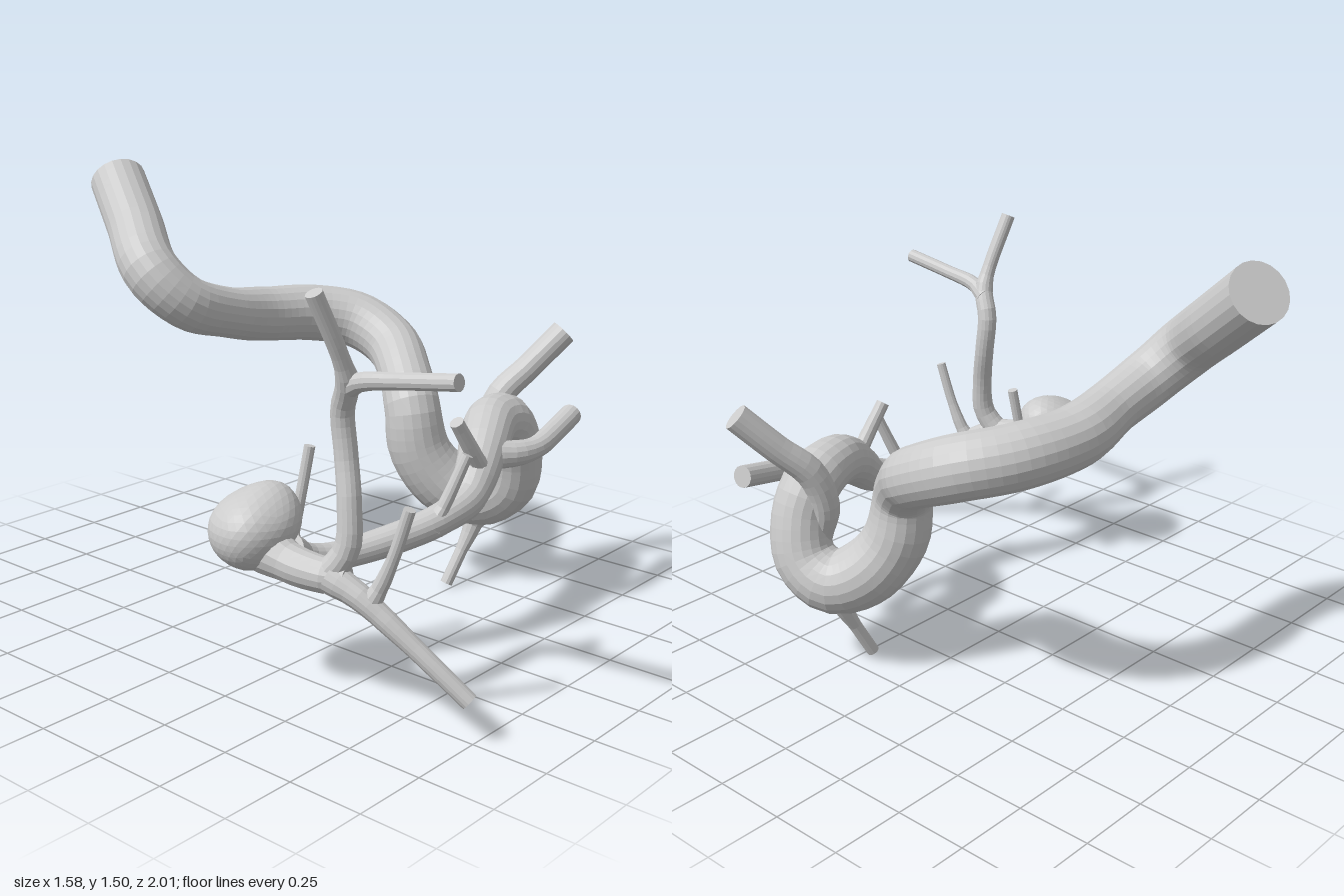
import * as THREE from 'three';

const material = new THREE.MeshStandardMaterial({ color: 0xcccccc, flatShading: true });

// Capped tube through [x, y, z, radius] stations, with smoothly varying radius.
function vessel(name, stations, sides = 16, stepLength = 0.035) {
  const curve = new THREE.CatmullRomCurve3(stations.map(s => new THREE.Vector3(s[0], s[1], s[2])));
  const steps = Math.max(4, Math.round(curve.getLength() / stepLength));
  const { normals, binormals } = curve.computeFrenetFrames(steps, false);
  const position = [], index = [];
  for (let i = 0; i <= steps; i++) {
    const u = i / steps;
    const center = curve.getPointAt(u);
    const f = curve.getUtoTmapping(u) * (stations.length - 1);
    const k = Math.min(Math.floor(f), stations.length - 2);
    const r = THREE.MathUtils.lerp(stations[k][3], stations[k + 1][3], THREE.MathUtils.smoothstep(f - k, 0, 1));
    for (let j = 0; j < sides; j++) {
      const a = j / sides * Math.PI * 2;
      const p = center.clone()
        .addScaledVector(normals[i], Math.cos(a) * r)
        .addScaledVector(binormals[i], Math.sin(a) * r);
      position.push(p.x, p.y, p.z);
      if (i < steps) {
        const p0 = i * sides + j, p1 = i * sides + (j + 1) % sides;
        index.push(p0, p1, p0 + sides, p1, p1 + sides, p0 + sides);
      }
    }
  }
  // flat end caps
  const first = position.length / 3, last = first + 1, ring = steps * sides;
  position.push(...curve.getPointAt(0).toArray(), ...curve.getPointAt(1).toArray());
  for (let j = 0; j < sides; j++) {
    const n = (j + 1) % sides;
    index.push(first, n, j, last, ring + j, ring + n);
  }
  const geometry = new THREE.BufferGeometry();
  geometry.setAttribute('position', new THREE.Float32BufferAttribute(position, 3));
  geometry.setIndex(index);
  geometry.computeVertexNormals();
  const mesh = new THREE.Mesh(geometry, material);
  mesh.name = name;
  return mesh;
}

// Rounded, slightly two-lobed sac.
function sac() {
  const geometry = new THREE.IcosahedronGeometry(1, 5);
  const p = geometry.attributes.position, v = new THREE.Vector3();
  for (let i = 0; i < p.count; i++) {
    v.fromBufferAttribute(p, i);
    const bump = 1 + 0.04 * Math.sin(3 * v.x + 1) * Math.cos(3 * v.y) + 0.03 * Math.sin(4 * v.z + v.x);
    p.setXYZ(i, v.x * bump * 0.16, v.y * bump * 0.115, v.z * bump * 0.135);
  }
  geometry.computeVertexNormals();
  const mesh = new THREE.Mesh(geometry, material);
  mesh.name = 'aneurysmSac';
  mesh.position.set(-0.64, 0.535, 0.28);
  mesh.rotation.z = 0.4;
  return mesh;
}

export function createModel() {
  const group = new THREE.Group();
  group.name = 'bloodVessels';

  // thick winding artery, from the open rear end through the loop
  group.add(vessel('mainArtery', [
    [-0.08, 1.42, -0.935, 0.1], [-0.16, 1.28, -0.76, 0.1], [-0.24, 1.145, -0.59, 0.1],
    [-0.17, 1.04, -0.5, 0.095], [0, 0.98, -0.48, 0.09], [0.2, 0.94, -0.49, 0.1],
    [0.41, 0.92, -0.43, 0.105], [0.53, 0.89, -0.31, 0.105], [0.54, 0.82, -0.15, 0.1],
    [0.46, 0.74, -0.02, 0.095], [0.4, 0.65, 0.06, 0.1], [0.41, 0.49, 0.09, 0.11],
    [0.47, 0.37, 0.16, 0.115], [0.54, 0.32, 0.26, 0.11], [0.57, 0.38, 0.36, 0.105],
    [0.55, 0.52, 0.4, 0.1], [0.49, 0.63, 0.4, 0.1], [0.38, 0.66, 0.42, 0.09],
    [0.27, 0.62, 0.47, 0.085], [0.18, 0.56, 0.51, 0.075], [0.09, 0.49, 0.535, 0.062],
    [-0.05, 0.455, 0.535, 0.052], [-0.2, 0.42, 0.48, 0.05], [-0.4, 0.39, 0.385, 0.045],
    [-0.5, 0.41, 0.36, 0.045], [-0.58, 0.45, 0.36, 0.06],
  ], 20));

  group.add(sac());

  // branches of the loop
  group.add(vessel('upperSideBranch', [
    [0.52, 0.45, 0.34, 0.04], [0.52, 0.58, 0.31, 0.05], [0.56, 0.7, 0.325, 0.05],
    [0.65, 0.8, 0.385, 0.047], [0.75, 0.92, 0.46, 0.047],
  ]));
  group.add(vessel('frontSideBranch', [
    [0.23, 0.6, 0.49, 0.06], [0.3, 0.595, 0.56, 0.045], [0.39, 0.6, 0.59, 0.038],
    [0.52, 0.625, 0.58, 0.038], [0.66, 0.655, 0.56, 0.038],
  ]));
  group.add(vessel('lowerBranch', [
    [0.53, 0.28, 0.27, 0.06], [0.5, 0.2, 0.26, 0.03], [0.46, 0.12, 0.245, 0.022], [0.405, 0.012, 0.225, 0.022],
  ], 12));

  // thin twigs along the narrowing artery
  const twigs = [
    [[0.19, 0.54, 0.53, 0.05], [0.13, 0.61, 0.54, 0.028], [0.035, 0.755, 0.525, 0.024]],
    [[-0.1, 0.44, 0.53, 0.045], [-0.07, 0.49, 0.55, 0.022], [-0.005, 0.67, 0.6, 0.019]],
    [[-0.54, 0.45, 0.32, 0.04], [-0.46, 0.48, 0.275, 0.02], [-0.44, 0.58, 0.285, 0.018], [-0.415, 0.735, 0.3, 0.018]],
  ];
  twigs.forEach((t, i) => group.add(vessel('twig' + (i + 1), t, 12)));

  // neck leaving the sac toward the front, and its forked branches
  group.add(vessel('forwardNeck', [
    [-0.65, 0.48, 0.32, 0.08], [-0.645, 0.45, 0.44, 0.06], [-0.63, 0.44, 0.54, 0.055], [-0.61, 0.44, 0.62, 0.04],
  ]));
  group.add(vessel('risingBranch', [
    [-0.63, 0.43, 0.55, 0.045], [-0.6, 0.53, 0.61, 0.04], [-0.585, 0.66, 0.605, 0.037],
    [-0.565, 0.8, 0.575, 0.036], [-0.57, 0.93, 0.565, 0.036], [-0.595, 1.02, 0.605, 0.035],
    [-0.63, 1.1, 0.61, 0.026], [-0.72, 1.295, 0.59, 0.026],
  ]));
  group.add(vessel('upperForwardTwig', [
    [-0.585, 1, 0.59, 0.035], [-0.6, 1.035, 0.66, 0.028], [-0.6, 1.06, 0.8, 0.025], [-0.6, 1.09, 0.995, 0.025],
  ], 12));
  group.add(vessel('descendingBranch', [
    [-0.63, 0.44, 0.57, 0.05], [-0.61, 0.4, 0.66, 0.04], [-0.59, 0.35, 0.73, 0.035],
    [-0.55, 0.25, 0.85, 0.029], [-0.5, 0.13, 0.985, 0.027],
  ]));
  group.add(vessel('lowerForwardTwig', [
    [-0.6, 0.37, 0.69, 0.035], [-0.585, 0.44, 0.725, 0.024], [-0.575, 0.54, 0.765, 0.019], [-0.565, 0.685, 0.81, 0.018],
  ], 12));

  return group;
}
